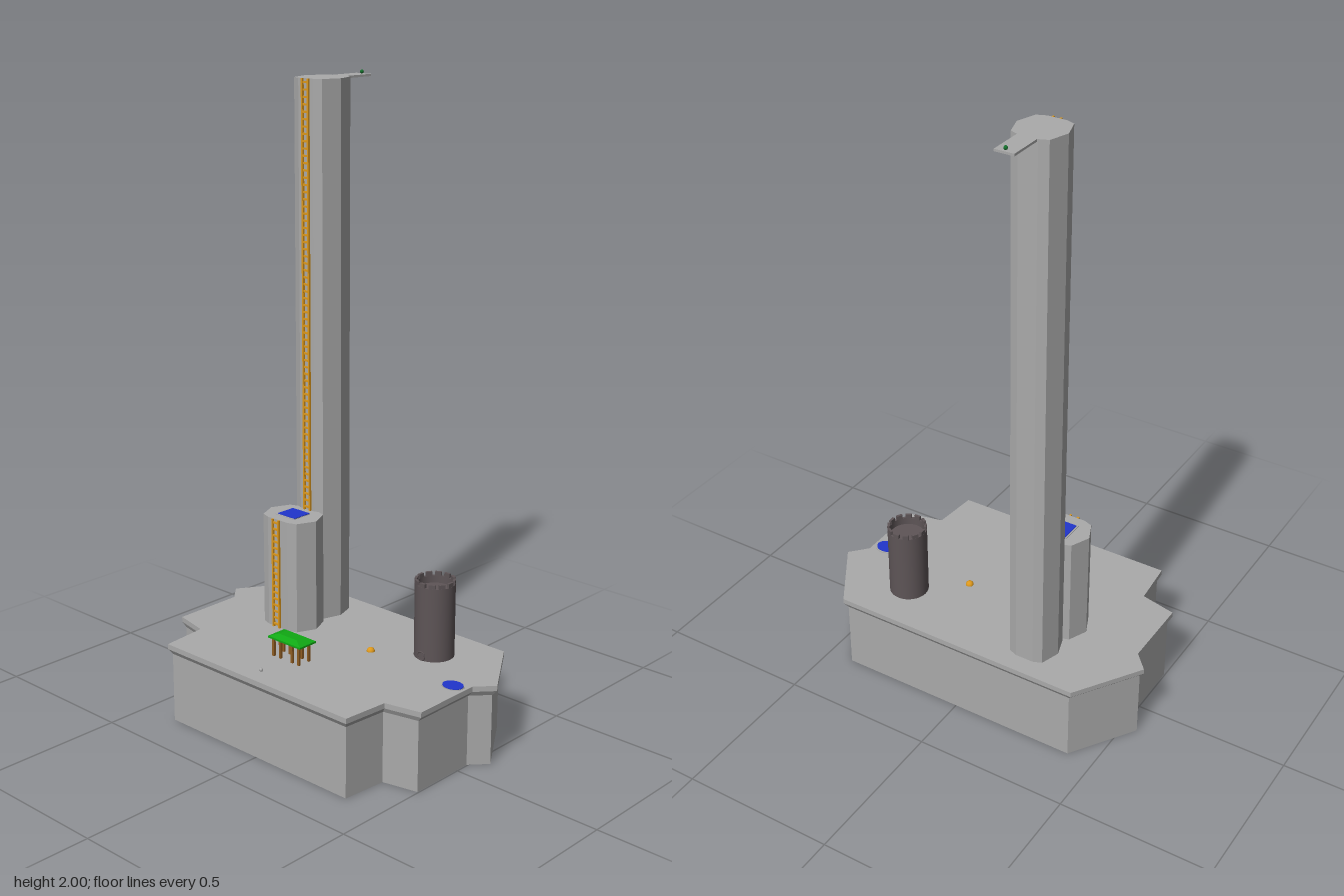
import * as THREE from 'three';

const mat = (name, color, extra = {}) => {
  const m = new THREE.MeshStandardMaterial({ color, ...extra });
  m.name = name;
  return m;
};

// Mirror a half outline of [x, z] points about x = 0
const mirrored = (half) => [...half, ...half.slice().reverse().map(([x, z]) => [-x, z])];
const shapeOf = (pts) => new THREE.Shape(pts.map(([x, z]) => new THREE.Vector2(x, -z)));

// Upright prism over an [x, z] outline
function prism(pts, y0, y1) {
  const g = new THREE.ExtrudeGeometry(shapeOf(pts), { depth: y1 - y0, bevelEnabled: false });
  return g.rotateX(-Math.PI / 2).translate(0, y0, 0);
}

// Flat-faced skin between two outlines at different heights
function skin(a, ya, b, yb) {
  const p = [];
  a.forEach((_, i) => {
    const j = (i + 1) % a.length;
    const A = [a[i][0], ya, a[i][1]], B = [a[j][0], ya, a[j][1]];
    const C = [b[j][0], yb, b[j][1]], D = [b[i][0], yb, b[i][1]];
    p.push(...A, ...B, ...C, ...A, ...C, ...D);
  });
  const g = new THREE.BufferGeometry();
  g.setAttribute('position', new THREE.Float32BufferAttribute(p, 3));
  g.computeVertexNormals();
  return g;
}

export function createModel() {
  const root = new THREE.Group();
  const stone = mat('stone grey', 0xaaaaaa, { side: THREE.DoubleSide });
  const dark = mat('dark stone', 0x5e5557, { side: THREE.DoubleSide });
  const blue = mat('water blue', 0x2035cc);
  const orange = mat('ladder orange', 0xdd981c);
  const brown = mat('wood brown', 0x8f5c22);
  const green = mat('roof green', 0x10a814, { side: THREE.DoubleSide });
  const darkGreen = mat('lamp green', 0x14702c);

  const add = (name, geo, material, parent = root, x = 0, y = 0, z = 0) => {
    const m = new THREE.Mesh(geo, material);
    m.name = name;
    m.position.set(x, y, z);
    parent.add(m);
    return m;
  };
  const box = (name, w, h, d, material, x, y, z, parent) =>
    add(name, new THREE.BoxGeometry(w, h, d), material, parent, x, y, z);

  // Platform: walls, flared lip and deck slab
  const deckY = 0.26;
  const rim = mirrored([[0.38, 0.36], [0.393, 0.21], [0.51, 0.184], [0.51, -0.05], [0.56, -0.105], [0.423, -0.315]]);
  const wall = rim.map(([x, z]) => [x * 0.973, 0.02 + (z - 0.02) * 0.97]);
  add('platformWalls', prism(wall, 0, 0.23), stone);
  add('platformLip', skin(wall, 0.227, rim, 0.243), stone);
  add('platformDeck', prism(rim, 0.243, deckY), stone);

  // Ten-sided towers
  const decagon = (cx, cz, wide, mid, flat, dMid, dEnd) =>
    mirrored([[flat, dEnd], [mid, dMid], [wide, 0], [mid, -dMid], [flat, -dEnd]])
      .map(([x, z]) => [x + cx, z + cz]);
  add('tallTower', prism(decagon(-0.222, -0.181, 0.078, 0.058, 0.03, 0.062, 0.073), deckY, 1.985), stone);
  add('shortTower', prism(decagon(-0.222, -0.043, 0.1, 0.073, 0.043, 0.061, 0.071), deckY, 0.625), stone);

  // Jumping plank with lamp at the top of the tall tower
  box('plank', 0.061, 0.007, 0.125, stone, -0.219, 1.9815, -0.301);
  add('plankLamp', new THREE.SphereGeometry(0.006, 10, 8), darkGreen, root, -0.218, 1.991, -0.354);

  // Ladders on the tower fronts
  function ladder(name, x, z, y0, y1, w) {
    const g = new THREE.Group();
    g.name = name;
    root.add(g);
    for (const s of [-1, 1])
      box('ladderRail', 0.006, y1 - y0, 0.007, orange, x + s * (w / 2 - 0.003), (y0 + y1) / 2, z, g);
    const n = Math.round((y1 - y0) / 0.022);
    for (let i = 0; i < n; i++)
      box('ladderRung', w - 0.008, 0.006, 0.005, orange, x, y0 + (i + 0.5) * (y1 - y0) / n, z, g);
  }
  ladder('shortTowerLadder', -0.227, 0.0315, deckY, 0.625, 0.032);
  ladder('tallTowerLadder', -0.22, -0.1045, 0.625, 1.985, 0.03);

  // Pools: thin water plates with pale rims
  box('towerPoolRim', 0.082, 0.002, 0.076, stone, -0.224, 0.6255, -0.044);
  box('towerPoolWater', 0.075, 0.004, 0.068, blue, -0.222, 0.6265, -0.045);
  const poolRim = add('deckPoolRim', new THREE.CylinderGeometry(1, 1, 0.002, 32), stone, root, 0.464, deckY + 0.001, -0.016);
  poolRim.scale.set(0.037, 1, 0.031);
  const pool = add('deckPoolWater', new THREE.CylinderGeometry(1, 1, 0.004, 32), blue, root, 0.465, deckY + 0.002, -0.014);
  pool.scale.set(0.034, 1, 0.028);

  // Round dark tower with hollow crenellated top
  const round = new THREE.Group();
  round.name = 'roundTower';
  round.position.set(0.277, deckY, -0.152);
  root.add(round);
  const profile = [[0.063, 0], [0.063, 0.238], [0.055, 0.238], [0.055, 0.215], [0, 0.215]];
  for (let i = 0; i < profile.length - 1; i++)
    add('roundTowerWall', new THREE.LatheGeometry(
      profile.slice(i, i + 2).map(([r, y]) => new THREE.Vector2(r, y)), 32), dark, round);
  for (let i = 0; i < 12; i++) {
    const a = i / 12 * Math.PI * 2;
    const c = box('battlement', 0.02, 0.014, 0.008, dark, Math.sin(a) * 0.0585, 0.244, Math.cos(a) * 0.0585, round);
    c.rotation.y = a;
  }
  add('roundTowerDoor', new THREE.TorusGeometry(0.014, 0.002, 6, 20), dark, round, 0, 0.014, 0.063);

  // Shelter with hipped green roof on wooden posts
  const rect = (x, z) => [[-x, z], [x, z], [x, -z], [-x, -z]].map(([a, b]) => [a - 0.023, b + 0.169]);
  const eave = rect(0.068, 0.035), ridge = rect(0.038, 0.018);
  add('shelterEave', prism(eave, 0.319, 0.325), green);
  add('shelterRoof', skin(eave, 0.325, ridge, 0.336), green);
  add('shelterRoofTop', prism(ridge, 0.334, 0.336), green);
  for (const z of [0.15, 0.193])
    for (const x of [-0.077, -0.048, 0.002, 0.03])
      box('shelterPost', 0.008, 0.06, 0.008, brown, x, 0.29, z);

  // Small deck fittings
  add('deckBall', new THREE.SphereGeometry(0.013, 16, 10), orange, root, 0.119, deckY, -0.035);
  add('deckKnob', new THREE.SphereGeometry(0.006, 10, 8), stone, root, -0.019, 0.268, 0.306);
  return root;
}
